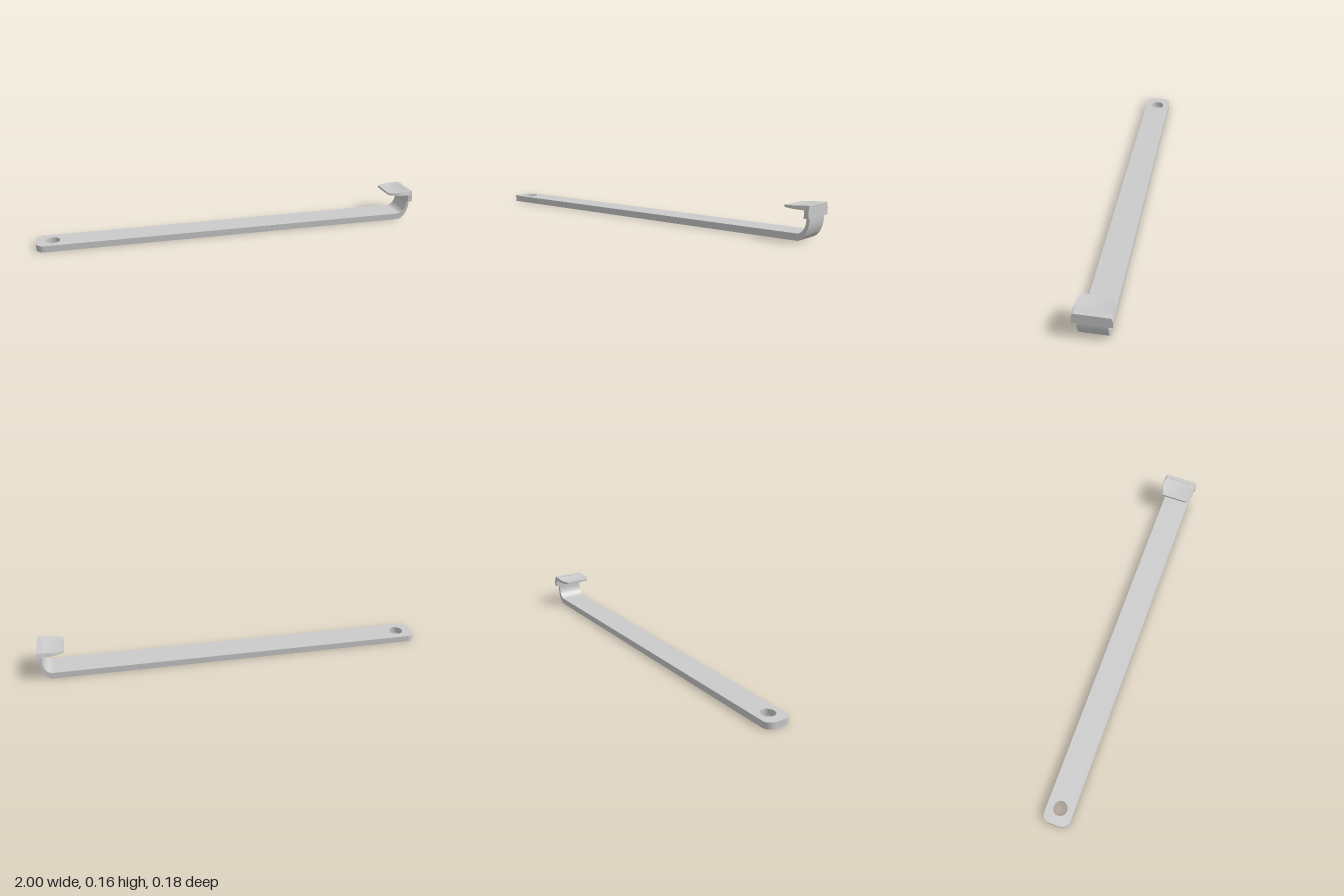
import * as THREE from 'three';
import { toCreasedNormals } from 'three/addons/utils/BufferGeometryUtils.js';

export function createModel() {
  const group = new THREE.Group();
  const material = new THREE.MeshStandardMaterial({ color: 0xcccccc });
  const add = (name, geometry) => {
    const mesh = new THREE.Mesh(toCreasedNormals(geometry, 0.6), material);
    mesh.name = name;
    group.add(mesh);
  };
  const w = 0.069;

  // long flat bar with rounded end and hanging hole
  const outline = new THREE.Shape();
  outline.moveTo(0.935, -w);
  outline.lineTo(0.935, w);
  outline.lineTo(-0.96, w);
  outline.bezierCurveTo(-0.985, w, -1, 0.045, -1, 0.025);
  outline.lineTo(-1, -0.025);
  outline.bezierCurveTo(-1, -0.045, -0.985, -w, -0.96, -w);
  const hole = new THREE.Path();
  hole.absarc(-0.917, 0, 0.036, 0, Math.PI * 2, true);
  outline.holes.push(hole);
  const bar = new THREE.ExtrudeGeometry(outline, { depth: 0.033, bevelEnabled: false, curveSegments: 16 });
  bar.rotateX(-Math.PI / 2).translate(0, 0.002, 0);
  add('bar', bar);

  // upward bend, thinning towards the head
  const side = new THREE.Shape();
  side.moveTo(0.935, 0.002);
  side.bezierCurveTo(0.965, 0.002, 0.995, 0.045, 0.995, 0.11);
  side.lineTo(0.995, 0.14);
  side.lineTo(0.98, 0.14);
  side.lineTo(0.98, 0.10);
  side.bezierCurveTo(0.98, 0.065, 0.96, 0.035, 0.935, 0.035);
  const bend = new THREE.ExtrudeGeometry(side, { depth: 2 * w, bevelEnabled: false, curveSegments: 14 });
  bend.translate(0, 0, -w);
  add('bend', bend);

  // upright wall of the hook head with sloping shoulders
  const face = new THREE.Shape([
    [-0.09, 0.108], [0.09, 0.108], [0.09, 0.142], [0.083, 0.165], [-0.083, 0.165], [-0.09, 0.142],
  ].map(([z, y]) => new THREE.Vector2(z, y)));
  const wall = new THREE.ExtrudeGeometry(face, { depth: 0.022, bevelEnabled: false });
  wall.rotateY(Math.PI / 2).translate(0.978, 0, 0);
  add('headWall', wall);

  // thin lip, narrowing to its tip and slightly dished
  const lip = new THREE.BoxGeometry(1, 1, 2, 12, 1, 16);
  const p = lip.attributes.position;
  for (let i = 0; i < p.count; i++) {
    const s = p.getX(i) + 0.5; // 0 at the tip, 1 at the wall
    const t = p.getZ(i);
    const top = p.getY(i) > 0;
    const half = 0.068 + 0.022 * Math.sin(Math.min(1, s * 1.7) * Math.PI / 2);
    const dish = 0.006 * Math.sin(Math.PI * s) * (1 - t * t);
    const y = top
      ? 0.157 + 0.008 * s - dish
      : 0.147 - 0.003 * s - dish * 0.5;
    p.setXYZ(i, 0.87 + 0.115 * s, y, t * (top ? half - 0.007 * s : half));
  }
  add('lip', lip);

  return group;
}
